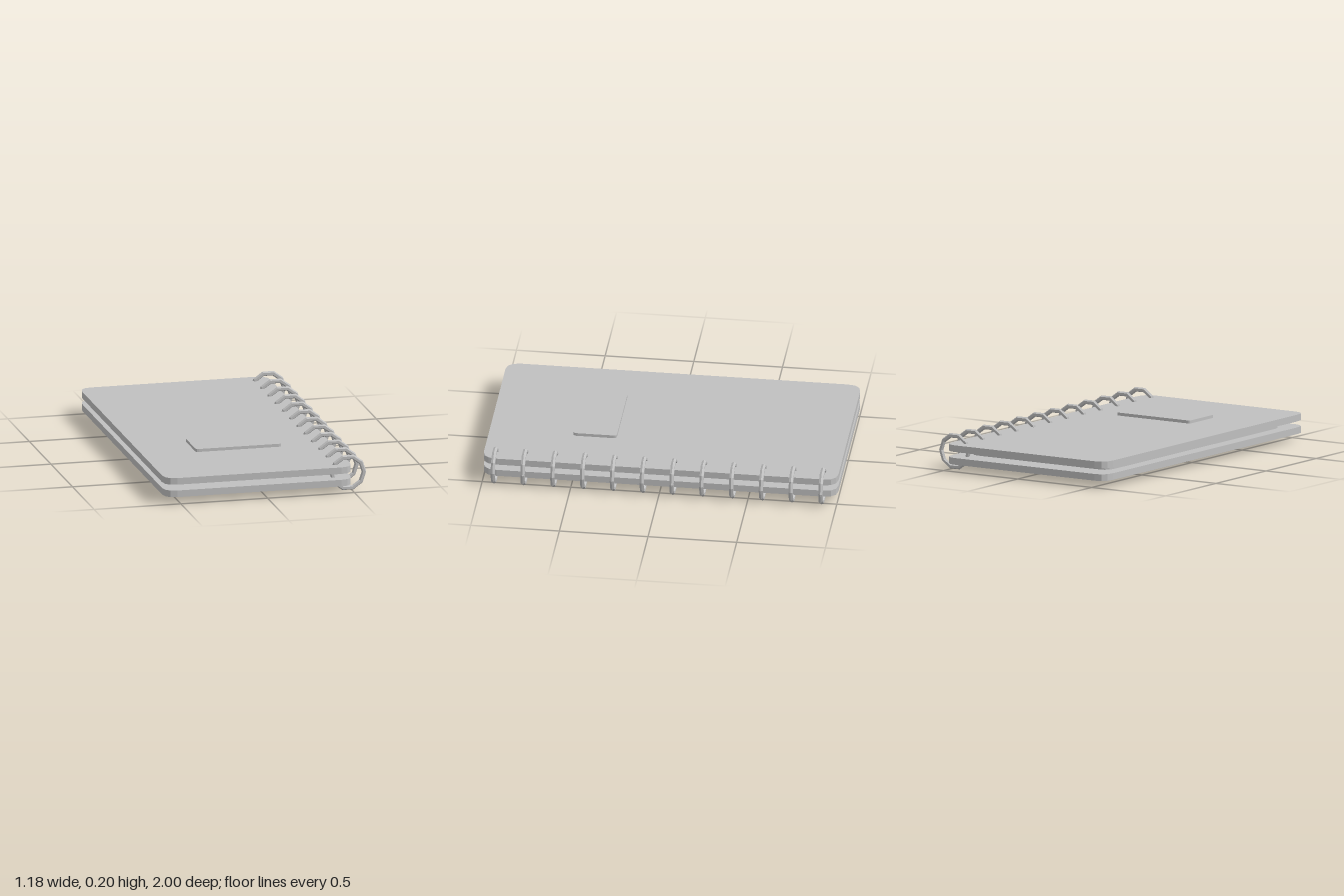
import * as THREE from 'three';

export function createModel() {
  const group = new THREE.Group();
  group.name = 'spiralNotebook';
  const grey = new THREE.MeshStandardMaterial({ color: 0xbfbfbf, flatShading: true });
  grey.name = 'plain grey';

  // Flat slab with rounded corners, lying between heights y0 and y1
  function slab(name, x0, x1, z0, z1, y0, y1, rx, rz, steps) {
    const a = -z1, b = -z0; // the shape's y becomes -z when laid flat
    const s = new THREE.Shape();
    s.moveTo(x0 + rx, a);
    s.lineTo(x1 - rx, a);
    s.quadraticCurveTo(x1, a, x1, a + rz);
    s.lineTo(x1, b - rz);
    s.quadraticCurveTo(x1, b, x1 - rx, b);
    s.lineTo(x0 + rx, b);
    s.quadraticCurveTo(x0, b, x0, b - rz);
    s.lineTo(x0, a + rz);
    s.quadraticCurveTo(x0, a, x0 + rx, a);
    const geo = new THREE.ExtrudeGeometry(s, { depth: y1 - y0, bevelEnabled: false, curveSegments: steps });
    geo.rotateX(-Math.PI / 2);
    geo.translate(0, y0, 0);
    const mesh = new THREE.Mesh(geo, grey);
    mesh.name = name;
    group.add(mesh);
  }

  // Covers, page block and the raised label
  slab('backCover', -0.59, 0.495, -1, 1, 0.04, 0.078, 0.07, 0.08, 3);
  slab('frontCover', -0.59, 0.495, -1, 1, 0.112, 0.15, 0.07, 0.08, 3);
  slab('pages', -0.515, 0.42, -0.86, 0.865, 0.078, 0.112, 0.06, 0.06, 3);
  slab('label', -0.295, 0.2, 0.28, 0.525, 0.161, 0.178, 0.018, 0.018, 3);

  // Ten-sided binding rings along the spine
  const ringGeo = new THREE.TorusGeometry(0.092, 0.0135, 6, 10);
  for (let i = 0; i < 12; i++) {
    const ring = new THREE.Mesh(ringGeo, grey);
    ring.name = 'bindingRing' + (i + 1);
    ring.position.set(0.48, 0.1, -0.917 + i * 0.168);
    group.add(ring);
  }
  return group;
}
